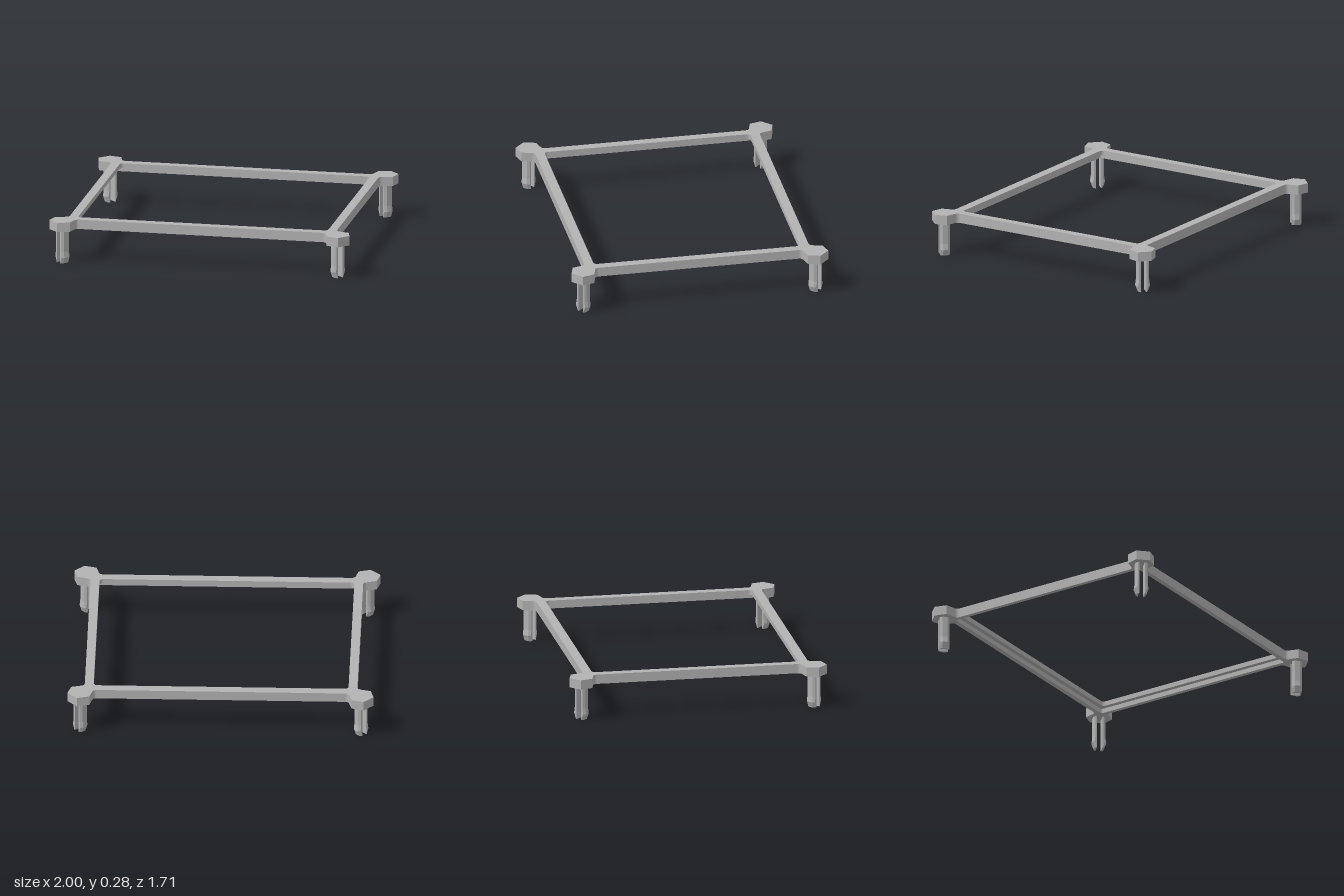
import * as THREE from 'three';

const grey = new THREE.MeshStandardMaterial({ color: 0xb3b3b3 });
grey.name = 'grey plastic';

// Outer outline of one corner: bar, fillet, hexagonal pad, fillet, bar
function cornerPoints() {
  const v = (x, y) => new THREE.Vector2(x, y);
  const fillet = (a, b, c) => new THREE.QuadraticBezierCurve(a, b, c).getPoints(6);
  return [
    ...fillet(v(0.89, 0.665), v(0.89, 0.688), v(0.915, 0.694)),
    v(0.978, 0.711), v(1, 0.79), v(0.935, 0.854), v(0.856, 0.832),
    ...fillet(v(0.839, 0.77), v(0.833, 0.747), v(0.81, 0.747)),
  ];
}

function outline() {
  const pts = [];
  for (const [sx, sy] of [[1, 1], [-1, 1], [-1, -1], [1, -1]]) {
    const corner = cornerPoints().map((p) => new THREE.Vector2(p.x * sx, p.y * sy));
    if (sx * sy < 0) corner.reverse();
    pts.push(...corner);
  }
  return new THREE.Shape(pts);
}

// Rectangular opening with rounded corners
function opening(w, h, r) {
  const p = new THREE.Path();
  p.moveTo(w, h - r);
  p.absarc(w - r, h - r, r, 0, Math.PI / 2);
  p.absarc(r - w, h - r, r, Math.PI / 2, Math.PI);
  p.absarc(r - w, r - h, r, Math.PI, Math.PI * 1.5);
  p.absarc(w - r, r - h, r, Math.PI * 1.5, Math.PI * 2);
  p.closePath();
  return p;
}

function frameLayer(name, hole, y0, y1) {
  const shape = outline();
  shape.holes.push(hole);
  const geo = new THREE.ExtrudeGeometry(shape, { depth: y1 - y0, bevelEnabled: false, curveSegments: 6 });
  geo.rotateX(-Math.PI / 2).translate(0, y0, 0);
  const mesh = new THREE.Mesh(geo, grey);
  mesh.name = name;
  return mesh;
}

// Snap prong: one cross-section lofted down, swelling to a barb and tapering to the tip
function prongGeometry() {
  const section = [[0.018, -0.032], [0.018, 0.032], [0.029, 0.032], [0.041, 0.016], [0.041, -0.016], [0.029, -0.032]];
  const levels = [[0, -0.009], [0.04, 0.006], [0.08, 0], [0.225, 0]];
  const n = section.length, pos = [], idx = [];
  for (const [y, swell] of levels) {
    section.forEach(([x, z], i) => pos.push(i < 2 ? x : x + swell, y, z));
  }
  for (let l = 0; l < levels.length - 1; l++) {
    for (let i = 0; i < n; i++) {
      const a = l * n + i, b = l * n + (i + 1) % n;
      idx.push(a, b, b + n, a, b + n, a + n);
    }
  }
  const top = (levels.length - 1) * n;
  for (let i = 1; i < n - 1; i++) {
    idx.push(0, i + 1, i, top, top + i, top + i + 1);
  }
  const indexed = new THREE.BufferGeometry();
  indexed.setAttribute('position', new THREE.Float32BufferAttribute(pos, 3));
  indexed.setIndex(idx);
  const geo = indexed.toNonIndexed();
  geo.computeVertexNormals();
  return geo;
}

export function createModel() {
  const model = new THREE.Group();
  model.name = 'snapInFrame';

  // Upper lip reaches further inward than the wall beneath, leaving a rebate
  model.add(frameLayer('upperLip', opening(0.832, 0.685, 0.025), 0.253, 0.285));
  model.add(frameLayer('lowerWall', opening(0.862, 0.715, 0.01), 0.222, 0.253));

  // Split peg under each corner pad, slotted along the diagonal
  const prong = prongGeometry();
  for (const sx of [1, -1]) {
    for (const sz of [1, -1]) {
      const peg = new THREE.Group();
      peg.name = (sz > 0 ? 'front' : 'back') + (sx > 0 ? 'Left' : 'Right') + 'Peg';
      peg.position.set(sx * 0.917, 0, sz * 0.772);
      peg.rotation.y = Math.atan2(sx, sz);
      for (const turn of [0, Math.PI]) {
        const mesh = new THREE.Mesh(prong, grey);
        mesh.name = 'prong';
        mesh.rotation.y = turn;
        peg.add(mesh);
      }
      model.add(peg);
    }
  }
  return model;
}
